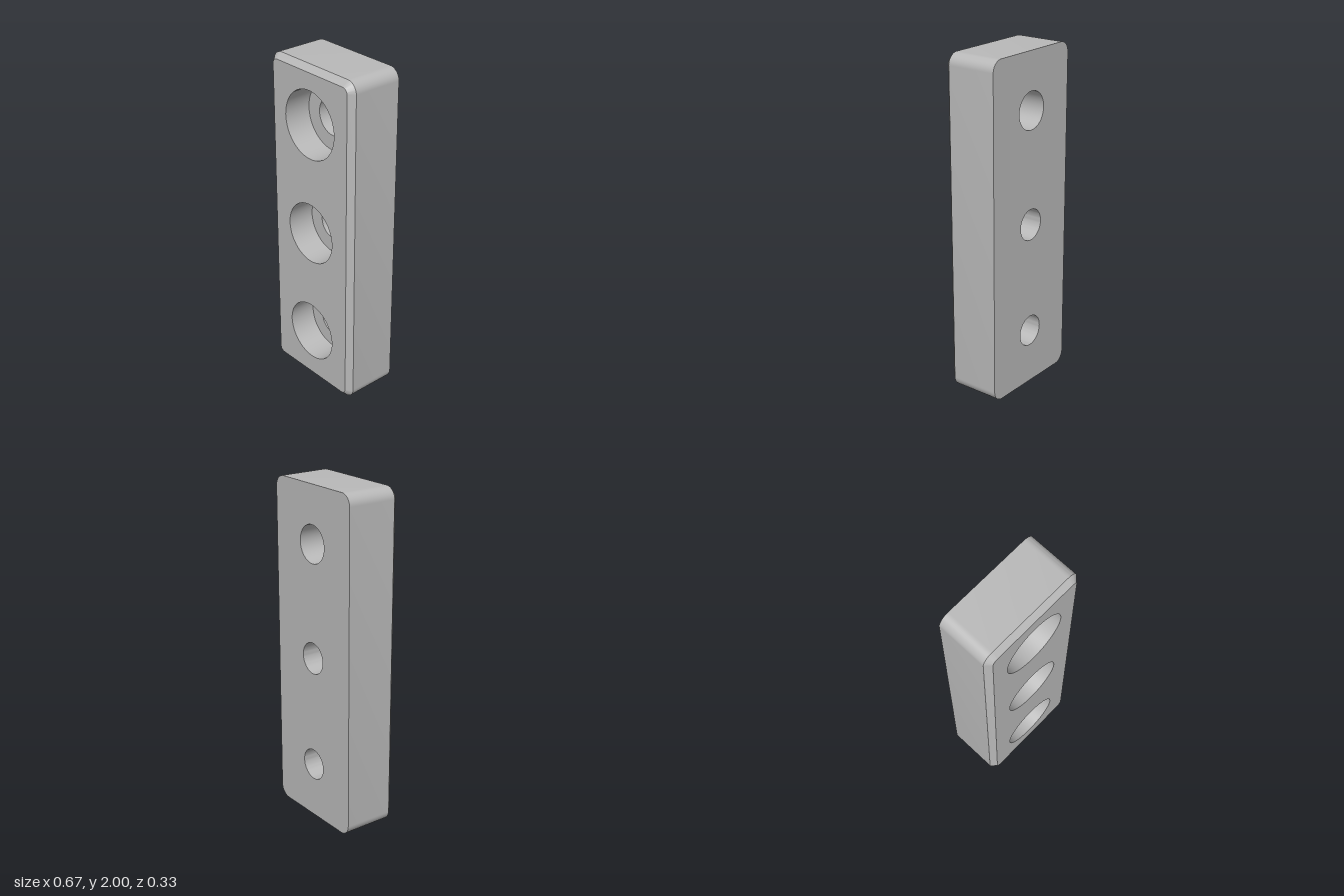
import * as THREE from 'three';
import { toCreasedNormals } from 'three/addons/utils/BufferGeometryUtils.js';

const HALF_W = 0.3333, HALF_H = 1, HALF_D = 0.1667;
const CORNER = 0.0667, CHAMFER = 0.0333;
const BORE_SEGMENTS = 64;

// Counterbored screw holes: height, head radius, shaft radius
const BORES = [
  { y: 1.667, head: 0.2, shaft: 0.11 },
  { y: 1.0, head: 0.183, shaft: 0.093 },
  { y: 0.333, head: 0.183, shaft: 0.093 },
];

// Rounded rectangle, counter-clockwise from the front, shrunk by inset
function outline(inset) {
  const r = CORNER - inset, steps = 12, points = [];
  const signs = [[1, 1], [-1, 1], [-1, -1], [1, -1]];
  signs.forEach(([sx, sy], corner) => {
    for (let i = 0; i <= steps; i++) {
      const a = (corner + i / steps) * Math.PI / 2;
      points.push(new THREE.Vector2(
        sx * (HALF_W - CORNER) + r * Math.cos(a),
        HALF_H + sy * (HALF_H - CORNER) + r * Math.sin(a)));
    }
  });
  return points;
}

// Flat face pierced by the holes
function face(inset, radiusKey) {
  const shape = new THREE.Shape(outline(inset));
  for (const bore of BORES) {
    const hole = new THREE.Path();
    hole.absarc(0, bore.y, bore[radiusKey], 0, Math.PI * 2, true);
    shape.holes.push(hole);
  }
  return new THREE.ShapeGeometry(shape, BORE_SEGMENTS / 2);
}

// Walls joining successive outlines, listed from back to front
function loft(rings) {
  const positions = [];
  for (let k = 0; k < rings.length - 1; k++) {
    const a = rings[k], b = rings[k + 1], n = a.points.length;
    for (let i = 0; i < n; i++) {
      const j = (i + 1) % n;
      const p = [a.points[i].x, a.points[i].y, a.z];
      const q = [a.points[j].x, a.points[j].y, a.z];
      const r = [b.points[j].x, b.points[j].y, b.z];
      const s = [b.points[i].x, b.points[i].y, b.z];
      positions.push(...p, ...q, ...r, ...p, ...r, ...s);
    }
  }
  const geometry = new THREE.BufferGeometry();
  geometry.setAttribute('position', new THREE.Float32BufferAttribute(positions, 3));
  return toCreasedNormals(geometry, 0.5);
}

export function createModel() {
  const group = new THREE.Group();
  group.name = 'mountingBlock';
  const grey = new THREE.MeshStandardMaterial({ color: 0xb8b8b8 });
  grey.name = 'grey';

  const add = (name, geometry) => {
    const mesh = new THREE.Mesh(geometry, grey);
    mesh.name = name;
    group.add(mesh);
    return mesh;
  };

  // Front and back faces
  add('frontFace', face(CHAMFER, 'head')).position.z = HALF_D;
  const back = add('backFace', face(0, 'shaft'));
  back.rotation.y = Math.PI;
  back.position.z = -HALF_D;

  // Side walls with a chamfer around the front
  add('sidesAndChamfer', loft([
    { points: outline(0), z: -HALF_D },
    { points: outline(0), z: HALF_D - CHAMFER },
    { points: outline(CHAMFER), z: HALF_D },
  ]));

  // Stepped hole linings, wide to mid-depth and narrow behind
  BORES.forEach(({ y, head, shaft }, i) => {
    const profile = [[head, HALF_D], [head, 0], [shaft, 0], [shaft, -HALF_D]]
      .map(([r, h]) => new THREE.Vector2(r, h));
    const lining = new THREE.LatheGeometry(profile, BORE_SEGMENTS);
    lining.rotateX(Math.PI / 2);
    add(`screwHole${i + 1}`, toCreasedNormals(lining, 0.5)).position.y = y;
  });

  return group;
}
